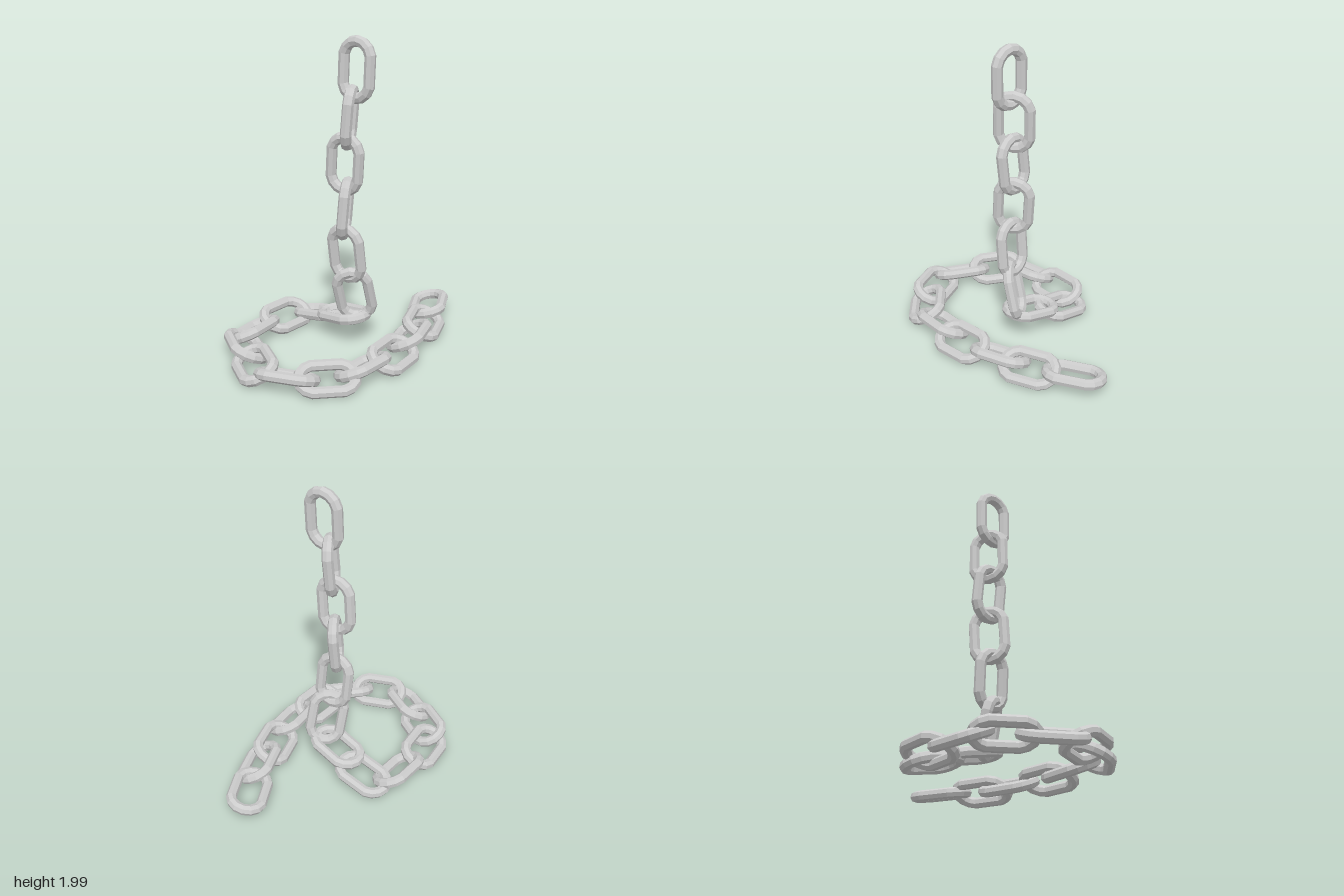
import * as THREE from 'three';

const RING = 0.1, WIRE = 0.035, STRETCH = 0.07;

// One link: a torus split in half and pulled apart along x, giving two straight legs
function linkGeometry() {
  const geo = new THREE.TorusGeometry(RING, WIRE, 8, 14);
  const pos = geo.attributes.position;
  for (let i = 0; i < pos.count; i++) {
    // the half a vertex belongs to follows its angle round the ring
    pos.setX(i, pos.getX(i) + Math.sign(pos.getX(i)) * STRETCH);
  }
  geo.computeVertexNormals();
  return geo;
}

export function createModel() {
  const group = new THREE.Group();
  const geo = linkGeometry();
  const mat = new THREE.MeshStandardMaterial({ color: 0xcccccc, flatShading: true });

  // Places a link at centre, running along dir, its legs spread along side
  function addLink(name, centre, dir, side) {
    const x = dir.clone().normalize();
    const z = x.clone().cross(side).normalize();
    const y = z.clone().cross(x);
    const mesh = new THREE.Mesh(geo, mat);
    mesh.quaternion.setFromRotationMatrix(new THREE.Matrix4().makeBasis(x, y, z));
    mesh.position.copy(centre);
    mesh.name = name;
    group.add(mesh);
  }
  const V = (a) => new THREE.Vector3(...a);

  // Hanging links: top end, bottom end, direction of the width
  const hanging = [
    [[0.015, 2.0, 0.09], [0.005, 1.59, 0.08], [0, 0, 1]],
    [[0.015, 1.705, 0.05], [-0.01, 1.3, 0.03], [0.88, 0, -0.47]],
    [[-0.03, 1.42, 0.04], [-0.015, 1.01, 0.005], [0.1, 0, 1]],
    [[0, 1.135, 0.03], [-0.04, 0.725, 0.02], [0.86, 0, -0.5]],
    [[-0.045, 0.84, 0.03], [0, 0.43, 0.045], [0.1, 0, 1]],
    [[-0.03, 0.55, 0.06], [0.085, 0.145, 0.065], [0.55, 0, 0.83]],
    // the two links that lead down to the ground
    [[0.03, 0.205, 0.15], [0.09, 0.13, -0.25], [1, 0, 0.1]],
    [[0.1, 0.13, -0.09], [0.115, 0.05, -0.495], [1, -0.15, 0]],
  ];
  hanging.forEach(([a, b, side], i) => {
    const top = V(a), bottom = V(b);
    addLink(`hangingLink${i + 1}`, top.clone().lerp(bottom, 0.5), bottom.sub(top), V(side));
  });

  // Links lying in a curl: centre x, z and heading x, z; they roll alternately in and out
  const lying = [
    [-0.07, -0.45, -1, -0.05],
    [-0.365, -0.465, -1, 0.1],
    [-0.56, -0.335, -0.52, 0.85],
    [-0.70, -0.125, -0.5, 0.87],
    [-0.69, 0.13, 0.38, 0.92],
    [-0.555, 0.325, 0.72, 0.69],
    [-0.31, 0.395, 1, 0.05],
    [-0.07, 0.445, 1, -0.08],
    [0.205, 0.37, 0.95, -0.3],
    [0.42, 0.335, 0.94, -0.36],
    [0.67, 0.2, 0.89, -0.45],
  ];
  const up = new THREE.Vector3(0, 1, 0);
  lying.forEach(([x, z, dx, dz], i) => {
    const last = i === lying.length - 1;
    const roll = (i % 2 ? -1 : 1) * (last ? 0.2 : 0.42);
    const dir = new THREE.Vector3(dx, 0, dz).normalize();
    const outward = dir.clone().cross(up);
    const side = outward.multiplyScalar(Math.cos(roll)).addScaledVector(up, Math.sin(roll));
    addLink(`lyingLink${i + 1}`, new THREE.Vector3(x, last ? 0.095 : 0.086, z), dir, side);
  });

  return group;
}
